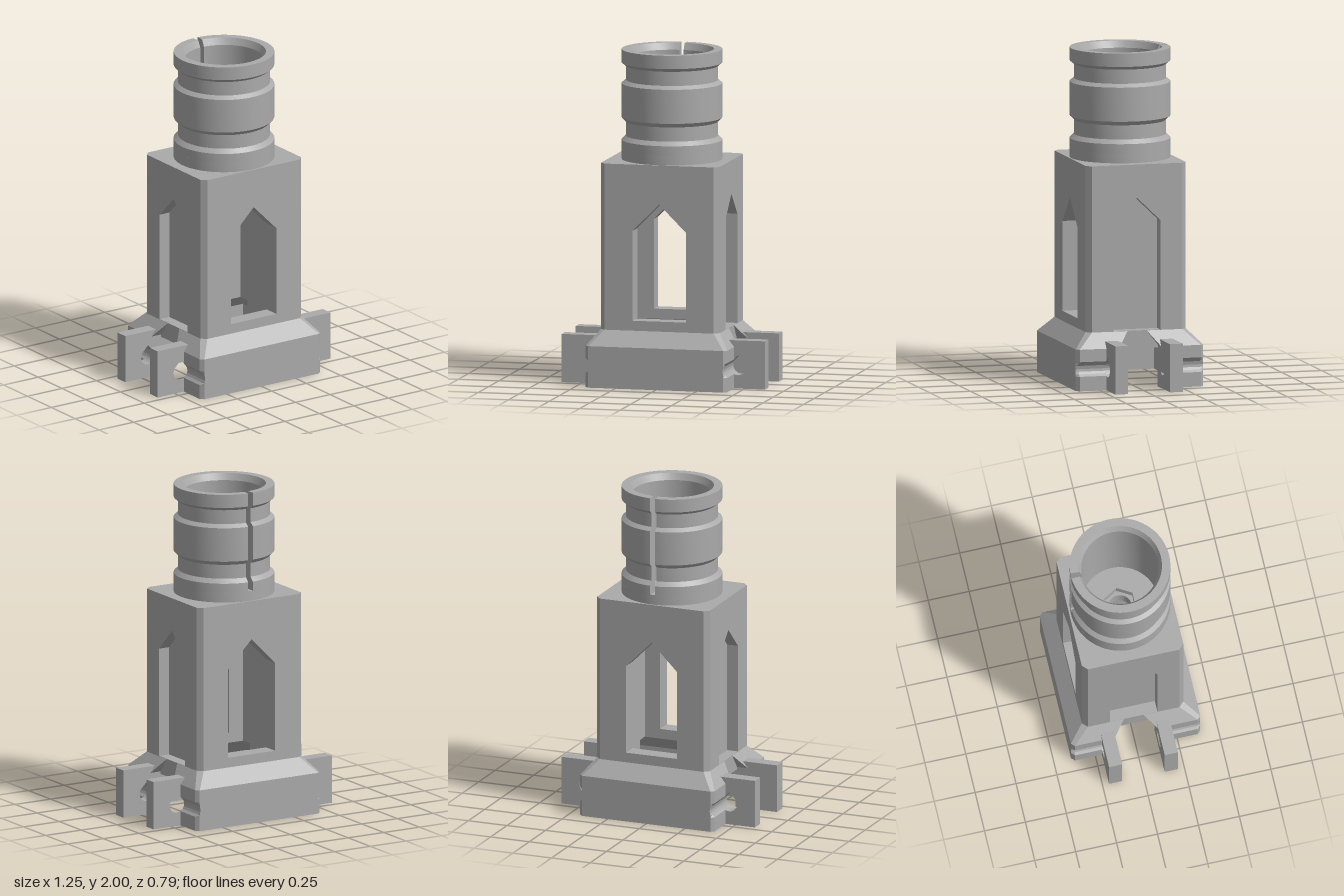
import * as THREE from 'three';
import { toCreasedNormals } from 'three/addons/utils/BufferGeometryUtils.js';

const grey = new THREE.MeshStandardMaterial({ color: 0xaaaaaa });
grey.name = 'grey plastic';

const vecs = pts => pts.map(([x, y]) => new THREE.Vector2(x, y));
const shapeOf = (pts, hole) => {
  const s = new THREE.Shape(vecs(pts));
  if (hole) s.holes.push(new THREE.Path(vecs(hole)));
  return s;
};
const part = (name, geo) => {
  const m = new THREE.Mesh(geo, grey);
  m.name = name;
  return m;
};
// Extrude an XY outline from z0 to z1
const slab = (name, pts, z0, z1, hole) => part(name, new THREE.ExtrudeGeometry(shapeOf(pts, hole),
  { depth: z1 - z0, bevelEnabled: false }).translate(0, 0, z0));
// Extrude a plan outline (x, z) from y0 to y1
const plate = (name, pts, y0, y1, hole) => {
  const m = slab(name, pts, y0, y1, hole);
  m.geometry.rotateX(-Math.PI / 2);
  return m;
};
const box = (name, x0, x1, y0, y1, z0, z1) => part(name,
  new THREE.BoxGeometry(x1 - x0, y1 - y0, z1 - z0).translate((x0 + x1) / 2, (y0 + y1) / 2, (z0 + z1) / 2));
const rect = (w, y0, y1) => [[-w, y0], [w, y0], [w, y1], [-w, y1]];
const pointed = (w, y0, y1, peak) => [[-w, y0], [w, y0], [w, y1], [0, peak], [-w, y1]];
const ring = (r, n) => Array.from({ length: n }, (_, i) =>
  [r * Math.cos(i / n * 2 * Math.PI), r * Math.sin(i / n * 2 * Math.PI)]);

// Side surfaces between two matching plan loops
function loft(low, y0, high, y1) {
  const pos = [];
  low.forEach((p, i) => {
    const j = (i + 1) % low.length;
    const a = [p[0], y0, p[1]], b = [low[j][0], y0, low[j][1]];
    const c = [high[i][0], y1, high[i][1]], d = [high[j][0], y1, high[j][1]];
    pos.push(...a, ...c, ...b, ...b, ...c, ...d);
  });
  const g = new THREE.BufferGeometry();
  g.setAttribute('position', new THREE.Float32BufferAttribute(pos, 3));
  g.computeVertexNormals();
  return g;
}

// C-shaped plan: chamfered outside, plain inside
const cPlan = (x, z, c, ix, iz, end) => [[x, end], [x, z - c], [x - c, z], [c - x, z], [-x, z - c], [-x, end],
  [-ix, end], [-ix, iz], [ix, iz], [ix, end]];

function makeHalf() {
  const g = new THREE.Group();
  // Base wall and its sloping shoulder
  g.add(box('baseWall', -0.355, 0.355, 0, 0.25, 0.315, 0.395));
  g.add(part('baseShoulder', loft(
    cPlan(0.435, 0.395, 0.02, 0.355, 0.315, 0.13), 0.25,
    cPlan(0.365, 0.31, 0.03, 0.265, 0.21, 0.06), 0.34)));

  for (const s of [1, -1]) {
    // Base corner with a pin groove down its side
    const post = cut => [[0.355, 0], [0.435, 0], [0.435, 0.087], [0.42, 0.1], [0.412, 0.115], [0.41, 0.13],
      [0.414, 0.15], [0.425, 0.165], [0.435, 0.175], [0.435, 0.25], [0.355, 0.25]]
      .map(([x, y]) => [s * Math.min(x, cut), y]);
    g.add(slab('baseCorner', post(1), 0.21, 0.375));
    const end = slab('cornerChamfer', post(1), 0.375, 0.395);
    const p = end.geometry.attributes.position;
    for (let i = 0; i < p.count; i++) {
      if (p.getZ(i) > 0.39) p.setX(i, s * Math.min(Math.abs(p.getX(i)), 0.415));
    }
    end.geometry.computeVertexNormals();
    g.add(end);

    // Hinge tab with teardrop hole
    const drop = [[s * 0.46, 0.2]];
    for (let i = 0; i <= 18; i++) {
      const a = Math.PI * (0.75 + 1.5 * i / 18);
      drop.push([s * (0.46 + 0.05 * Math.cos(a)), 0.13 + 0.05 * Math.sin(a)]);
    }
    g.add(slab('hingeTab', [[s * 0.355, 0], [s * 0.625, 0], [s * 0.625, 0.29], [s * 0.355, 0.29]], 0.13, 0.21, drop));

    // Chamfered tower corner
    g.add(plate('towerCorner', [[s * 0.335, -0.28], [s * 0.365, -0.28], [s * 0.335, -0.31]], 0.34, 1.2));
  }

  // Tower wall with an open pointed window
  g.add(slab('windowWall', rect(0.335, 0.34, 1.2), 0.21, 0.31, pointed(0.165, 0.4, 0.94, 1.105)));

  // Side wall with a blind pointed niche, and the lintel under it
  const side = new THREE.Group();
  side.name = 'nicheSide';
  side.add(slab('nicheWall', rect(0.28, 0.34, 1.2), 0.295, 0.365, pointed(0.145, 0.342, 1.0, 1.14)));
  side.add(box('nicheBack', -0.28, 0.28, 0.34, 1.2, 0.265, 0.295));
  side.add(box('sideLintel', -0.135, 0.135, 0.235, 0.34, 0.265, 0.365));
  side.rotation.y = Math.PI / 2;
  g.add(side);
  return g;
}

function makeTube() {
  const g = new THREE.Group();
  g.name = 'collar';
  const lathe = (name, pts, start, len) => g.add(part(name,
    toCreasedNormals(new THREE.LatheGeometry(vecs(pts), 72, start, len), 0.3)));
  // Unslit foot
  lathe('collarFoot', [[0.3, 1.34], [0.3, 1.4], [0.23, 1.4], [0.23, 1.34]], 0, Math.PI * 2);
  // Grooved sleeve, slit at the back
  const profile = [[0.3, 1.4], [0.3, 1.455], [0.275, 1.48], [0.275, 1.565], [0.3, 1.59], [0.3, 1.795],
    [0.275, 1.815], [0.275, 1.9], [0.3, 1.92], [0.3, 2], [0.25, 2], [0.23, 1.96], [0.23, 1.4]];
  const gap = 0.056;
  lathe('collarSleeve', profile, Math.PI + gap, 2 * (Math.PI - gap));
  for (const s of [1, -1]) {
    const geo = new THREE.ShapeGeometry(shapeOf(profile));
    // Turn the right slit face round so both face into the gap
    if (s < 0) {
      const ix = geo.index;
      for (let i = 0; i < ix.count; i += 3) {
        const t = ix.getX(i);
        ix.setX(i, ix.getX(i + 1));
        ix.setX(i + 1, t);
      }
      geo.computeVertexNormals();
    }
    const face = part('slitFace', geo);
    face.rotation.y = Math.PI / 2 + s * gap;
    g.add(face);
  }
  return g;
}

export function createModel() {
  const model = new THREE.Group();
  model.name = 'towerMount';
  const front = makeHalf();
  front.name = 'frontHalf';
  const back = makeHalf();
  back.name = 'backHalf';
  back.rotation.y = Math.PI;
  model.add(front, back);

  // Tower top with bolt hole and hexagonal nut pocket
  const x = 0.365, z = 0.31, c = 0.03;
  const plan = [[x, c - z], [x, z - c], [x - c, z], [c - x, z], [-x, z - c], [-x, c - z], [c - x, -z], [x - c, -z]];
  model.add(plate('towerCeiling', plan, 1.2, 1.29, ring(0.07, 32)));
  model.add(plate('towerTop', plan, 1.29, 1.34, ring(0.1, 6)));
  model.add(makeTube());
  return model;
}
